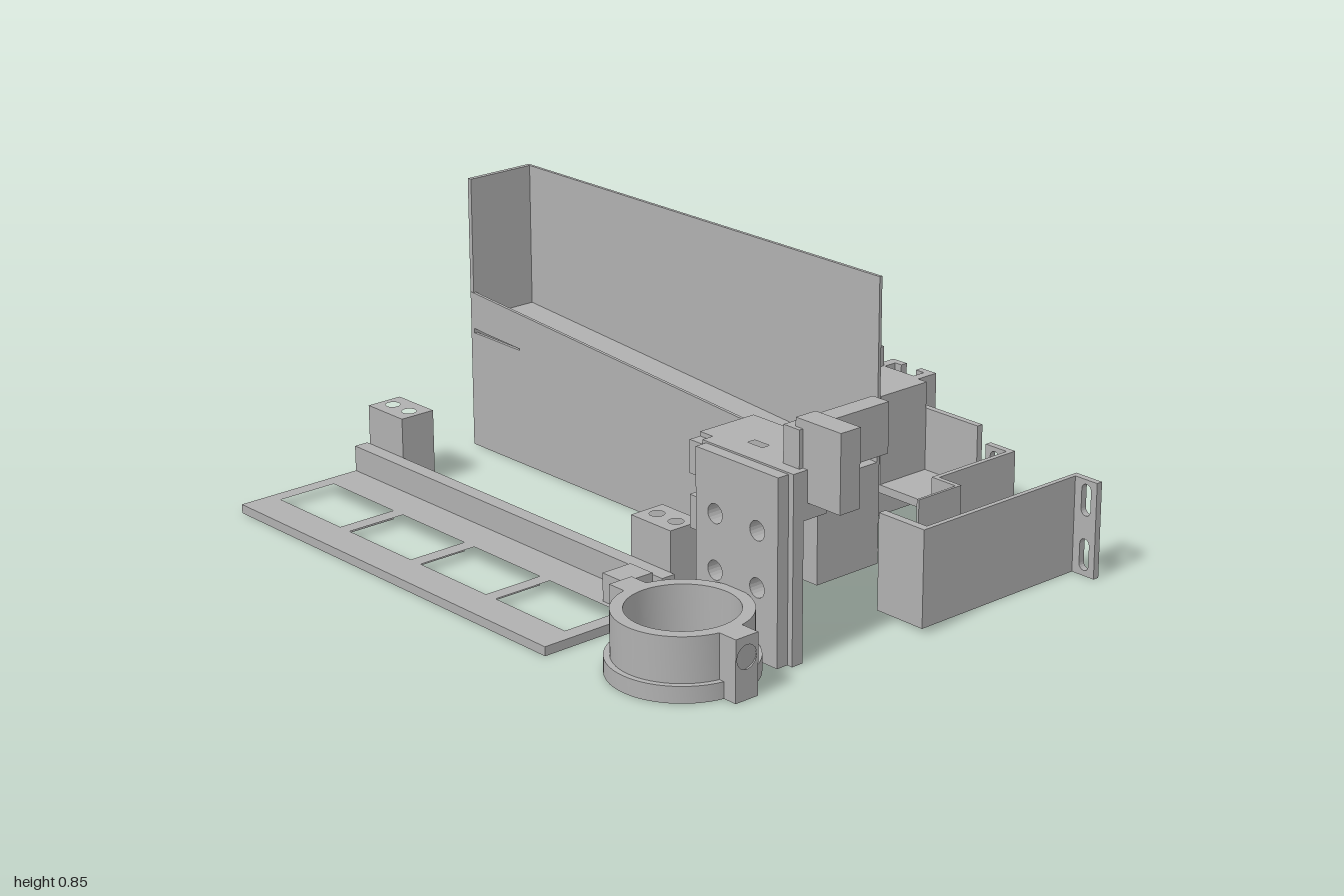
import * as THREE from 'three';
import { toCreasedNormals } from 'three/addons/utils/BufferGeometryUtils.js';

const grey = new THREE.MeshStandardMaterial({ color: 0xb0b0b0 });
grey.name = 'plain grey';

function add(parent, name, geometry) {
  const mesh = new THREE.Mesh(geometry, grey);
  mesh.name = name;
  parent.add(mesh);
  return mesh;
}

// Box given by its limits on each axis
function box(parent, name, x0, x1, y0, y1, z0, z1) {
  const g = new THREE.BoxGeometry(x1 - x0, y1 - y0, z1 - z0);
  g.translate((x0 + x1) / 2, (y0 + y1) / 2, (z0 + z1) / 2);
  return add(parent, name, g);
}

const rect = (a0, a1, b0, b1) => [[a0, b0], [a1, b0], [a1, b1], [a0, b1]];
const circle = (a, b, r, n = 20) => Array.from({ length: n }, (_, i) => {
  const t = i / n * Math.PI * 2;
  return [a + r * Math.cos(t), b + r * Math.sin(t)];
});

// Plate cut from an outline with holes. Outline axes: 'y' -> (x,z), 'z' -> (x,y), 'x' -> (z,y)
function plate(parent, name, axis, from, to, outline, holes = []) {
  const pts = (list) => list.map(([a, b]) =>
    new THREE.Vector2(axis === 'x' ? -a : a, axis === 'y' ? -b : b));
  const shape = new THREE.Shape(pts(outline));
  shape.holes = holes.map((h) => new THREE.Path(pts(h)));
  const g = new THREE.ExtrudeGeometry(shape, { depth: to - from, bevelEnabled: false });
  g.translate(0, 0, from);
  if (axis === 'y') g.rotateX(-Math.PI / 2);
  if (axis === 'x') g.rotateY(Math.PI / 2);
  return add(parent, name, g);
}

function group(root, name) {
  const g = new THREE.Group();
  g.name = name;
  root.add(g);
  return g;
}

// Tall bin with a sloping floor and a ribbed, open underside
function hopper(root) {
  const g = group(root, 'hopper');
  box(g, 'backWall', -1, 0.515, 0, 0.845, -0.15, -0.14);
  box(g, 'endWall', -1, -0.985, 0, 0.845, -0.14, 0.076);
  plate(g, 'frontWall', 'z', 0.076, 0.086,
    [[-1, 0], [0.515, 0], [0.515, 0.385], [-1, 0.49]],
    [[[-0.985, 0.362], [-0.93, 0.362], [-0.77, 0.36], [-0.77, 0.365], [-0.93, 0.372], [-0.985, 0.377]]]);
  box(g, 'endWallUpperEdge', -1, -0.985, 0.49, 0.845, 0.076, 0.086);
  plate(g, 'slopingFloor', 'z', -0.14, 0.076,
    [[-0.985, 0.395], [0.515, 0.29], [0.515, 0.305], [-0.985, 0.41]]);
  for (let i = 1; i <= 8; i++) {
    const x = -0.985 + i * 1.5 / 8;
    box(g, 'rib', x - 0.012, x, 0, 0.396 - (x + 0.985) * 0.07, -0.14, 0.076);
  }
  for (const x of [-0.882, 0.362]) {
    plate(g, 'mountingTab', 'y', 0, 0.035, rect(x - 0.047, x + 0.047, -0.22, -0.15), [circle(x, -0.19, 0.021)]);
  }
}

// Flat frame with four windows, a rear rail and two drilled posts
function windowFrame(root) {
  const g = group(root, 'windowFrame');
  const windows = [[-0.955, -0.665], [-0.62, -0.335], [-0.29, 0], [0.043, 0.335]];
  plate(g, 'framePlate', 'y', 0, 0.027, rect(-1, 0.38, 0.49, 0.946),
    windows.map(([a, b]) => rect(a, b, 0.65, 0.84)));
  box(g, 'rail', -1, 0.38, 0.027, 0.105, 0.49, 0.535);
  box(g, 'railBlock', 0.25, 0.34, 0.027, 0.11, 0.535, 0.635);
  for (const x of [-0.905, 0.282]) {
    plate(g, 'post', 'y', 0, 0.226, rect(x - 0.081, x + 0.081, 0.375, 0.49),
      [-0.039, 0.039].map((d) => circle(x + d, 0.432, 0.022)));
  }
}

// Round collar with a foot flange and two drilled ears
function collar(root) {
  const g = group(root, 'collar');
  const profile = [[0.155, 0], [0.207, 0], [0.207, 0.048], [0.19, 0.048], [0.19, 0.178], [0.155, 0.178], [0.155, 0]];
  const lathe = new THREE.LatheGeometry(profile.map(([r, y]) => new THREE.Vector2(r, y)), 64);
  add(g, 'ring', toCreasedNormals(lathe, 0.6)).position.set(0.69, 0, 0.738);
  for (const [a, b] of [[0.445, 0.515], [0.867, 0.937]]) {
    plate(g, 'ear', 'x', a, b, rect(0.7, 0.778, 0, 0.178), [circle(0.74, 0.12, 0.034)]);
  }
}

// Upright drilled plate with a shelf and a side arm
function uprightMount(root) {
  const g = group(root, 'uprightMount');
  const holes = [];
  for (const x of [0.61, 0.772]) for (const y of [0.205, 0.365]) holes.push(circle(x, y, 0.028));
  plate(g, 'frontPlate', 'z', 0.515, 0.552, rect(0.535, 0.85, 0, 0.533), holes);
  plate(g, 'backPlate', 'z', 0.478, 0.515,
    [[0.52, 0], [0.868, 0], [0.868, 0.538], [0.52, 0.538], [0.52, 0.525], [0.47, 0.525], [0.47, 0.43],
      [0.52, 0.43], [0.52, 0.37], [0.47, 0.37], [0.47, 0.275], [0.52, 0.275]], holes);
  plate(g, 'shelf', 'y', 0.5, 0.538, rect(0.47, 0.79, 0.285, 0.478), [rect(0.615, 0.67, 0.415, 0.44)]);
  box(g, 'arm', 0.79, 0.85, 0.5, 0.645, 0.155, 0.478);
  box(g, 'sideBlock', 0.822, 0.988, 0.447, 0.67, 0.395, 0.465);
  box(g, 'armBracket', 0.79, 0.868, 0.4, 0.538, 0.395, 0.478);
}

// Rail carriage: drilled block, slotted column and an open pocket
function carriage(root) {
  const g = group(root, 'carriage');
  plate(g, 'block', 'y', 0, 0.445, rect(-0.035, 0.11, -0.57, -0.43), [rect(-0.02, 0.05, -0.525, -0.44)]);
  plate(g, 'blockTab', 'y', 0.06, 0.435, rect(-0.01, 0.05, -0.615, -0.57), [circle(0.02, -0.592, 0.013)]);
  box(g, 'column', 0.11, 0.26, 0, 0.385, -0.57, -0.36);
  for (const s of [-1, 1]) {
    const z = (d) => -0.46 + s * d;
    const span = (a, b) => [Math.min(z(a), z(b)), Math.max(z(a), z(b))];
    box(g, 'leftStem', 0.085, 0.115, 0, 0.385, ...span(0.1, 0.175));
    box(g, 'leftLip', 0.115, 0.14, 0, 0.385, ...span(0.152, 0.175));
    box(g, 'rightStem', 0.232, 0.26, 0, 0.385, ...span(0.1, 0.175));
    box(g, 'rightLip', 0.2, 0.232, 0, 0.385, ...span(0.152, 0.175));
  }
  box(g, 'pocketFloor', 0.26, 0.5, 0.09, 0.115, -0.58, -0.375);
  box(g, 'pocketBackWall', 0.26, 0.5, 0.115, 0.305, -0.58, -0.56);
  box(g, 'pocketInnerWall', 0.26, 0.295, 0.115, 0.385, -0.56, -0.375);
}

// Open tray with slotted flanges at the rear
function tray(root) {
  const g = group(root, 'tray');
  plate(g, 'trayFloor', 'y', 0, 0.02,
    [[0.66, -0.53], [0.92, -0.53], [0.92, 0.085], [0.75, 0.085], [0.75, -0.21], [0.66, -0.21]],
    [rect(0.79, 0.833, -0.125, -0.04)]);
  box(g, 'outerWall', 0.905, 0.92, 0.02, 0.285, -0.53, 0.085);
  box(g, 'endWall', 0.75, 0.905, 0.02, 0.285, 0.06, 0.085);
  box(g, 'innerWall', 0.66, 0.675, 0.02, 0.285, -0.53, -0.21);
  box(g, 'stepWall', 0.66, 0.75, 0.02, 0.285, -0.225, -0.21);
  box(g, 'narrowWall', 0.75, 0.758, 0.02, 0.285, -0.225, -0.06);
  const slot = (x, y) => [...circle(x, y + 0.03, 0.017, 16).slice(0, 9), ...circle(x, y - 0.03, 0.017, 16).slice(8), [x + 0.017, y - 0.03]];
  for (const [a, b, x] of [[0.58, 0.66, 0.615], [0.92, 1, 0.962]]) {
    plate(g, 'flange', 'z', -0.53, -0.51, rect(a, b, 0, 0.285), [slot(x, 0.063), slot(x, 0.225)]);
  }
}

// Low L-shaped bracket
function cornerBracket(root) {
  const g = group(root, 'cornerBracket');
  plate(g, 'uprightPlate', 'z', -0.955, -0.932,
    [[-1, 0], [-0.87, 0], [-0.87, 0.03], [-0.81, 0.03], [-0.81, 0], [-0.7, 0], [-0.7, 0.11], [-0.88, 0.11], [-0.88, 0.125], [-1, 0.125]]);
  box(g, 'arm', -1, -0.94, 0, 0.03, -0.932, -0.395);
  box(g, 'armTip', -0.985, -0.94, 0, 0.03, -0.395, -0.287);
}

export function createModel() {
  const root = new THREE.Group();
  root.name = 'printedPartsKit';
  for (const build of [hopper, windowFrame, collar, uprightMount, carriage, tray, cornerBracket]) build(root);
  return root;
}
